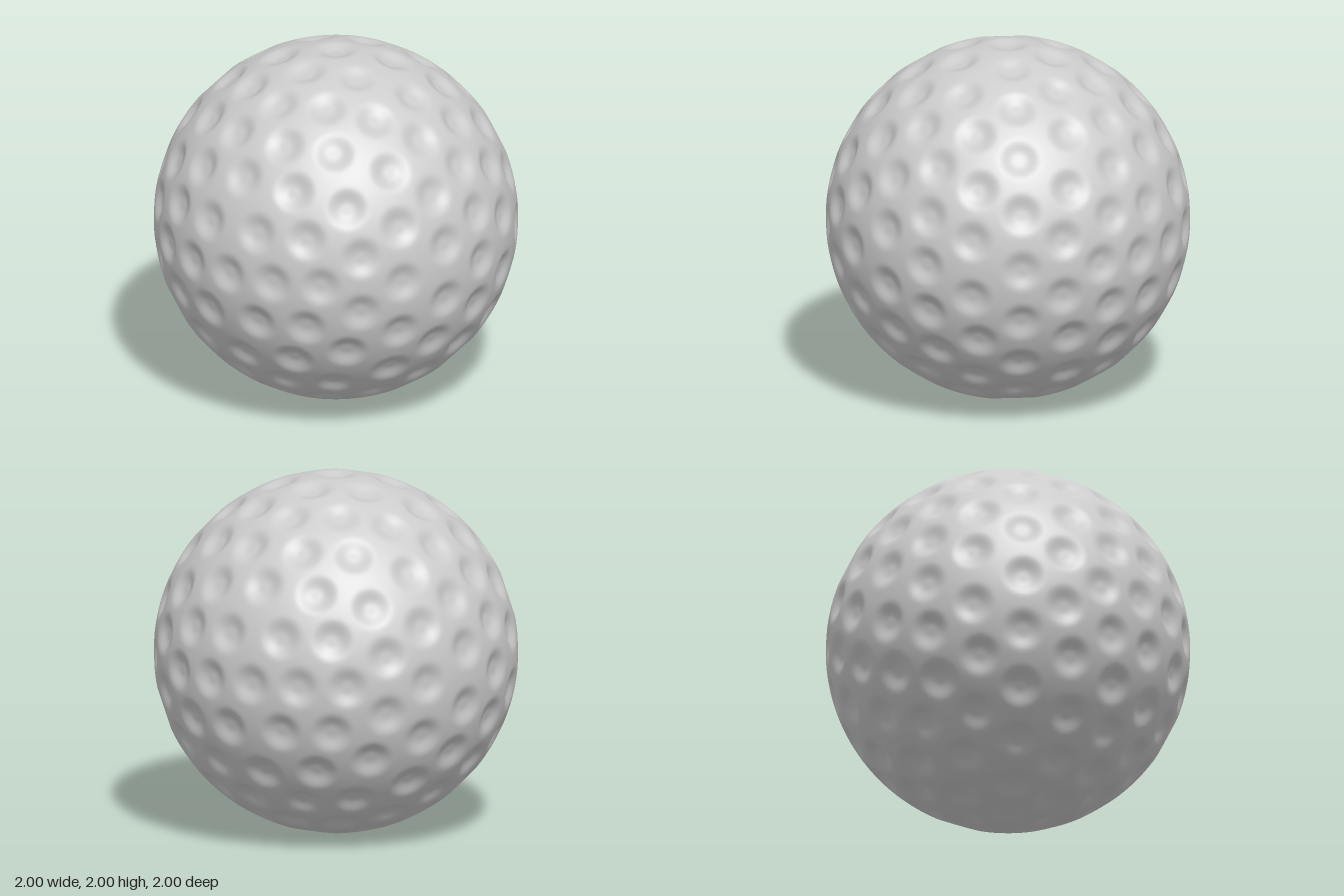
import * as THREE from 'three';
import { mergeVertices } from 'three/addons/utils/BufferGeometryUtils.js';

const LAND = 1.008;   // radius between the dimples
const DEPTH = 0.03;   // dimple depth
const FLOOR = 0.03;   // angular radius of the dimple floor
const RIM = 0.125;    // angular radius of the dimple rim

// Dimple centres: corners of an icosahedron (poles on z) halved twice
function dimpleCentres() {
  const ring = (start, z) => [0, 1, 2, 3, 4].map((k) => {
    const a = start + k * Math.PI * 0.4;
    return new THREE.Vector3(2 * Math.cos(a), 2 * Math.sin(a), z).normalize();
  });
  const front = new THREE.Vector3(0, 0, 1);
  const back = new THREE.Vector3(0, 0, -1);
  const upper = ring(Math.PI, 1);
  const lower = ring(Math.PI * 1.2, -1);

  let faces = [];
  for (let k = 0; k < 5; k++) {
    const n = (k + 1) % 5;
    faces.push(
      [front, upper[k], upper[n]],
      [upper[k], lower[k], upper[n]],
      [lower[k], lower[n], upper[n]],
      [back, lower[n], lower[k]],
    );
  }
  const mid = (a, b) => a.clone().add(b).normalize();
  for (let level = 0; level < 2; level++) {
    faces = faces.flatMap(([a, b, c]) => {
      const ab = mid(a, b), bc = mid(b, c), ca = mid(c, a);
      return [[a, ab, ca], [ab, b, bc], [ca, bc, c], [ab, bc, ca]];
    });
  }
  // Keep each shared corner once
  const centres = [];
  for (const p of faces.flat()) {
    if (!centres.some((q) => q.distanceTo(p) < 0.01)) centres.push(p);
  }
  return centres;
}

export function createModel() {
  const group = new THREE.Group();
  group.name = 'dimpledBall';

  // Dense sphere with shared vertices for smooth normals
  let geometry = new THREE.IcosahedronGeometry(1, 58);
  geometry.deleteAttribute('normal');
  geometry.deleteAttribute('uv');
  geometry = mergeVertices(geometry, 1e-4);

  // Press a round dimple around every centre
  const centres = dimpleCentres();
  const position = geometry.attributes.position;
  const p = new THREE.Vector3();
  for (let i = 0; i < position.count; i++) {
    p.fromBufferAttribute(position, i).normalize();
    let nearest = -1;
    for (const c of centres) nearest = Math.max(nearest, p.dot(c));
    const angle = Math.acos(Math.min(1, nearest));
    const rise = THREE.MathUtils.smoothstep(angle, FLOOR, RIM);
    p.multiplyScalar(LAND - DEPTH * (1 - rise));
    position.setXYZ(i, p.x, p.y, p.z);
  }
  geometry.computeVertexNormals();

  // Ball resting on the ground
  const ball = new THREE.Mesh(geometry, new THREE.MeshStandardMaterial({ color: 0xcccccc }));
  ball.name = 'ball';
  ball.position.y = 1;
  group.add(ball);
  return group;
}
